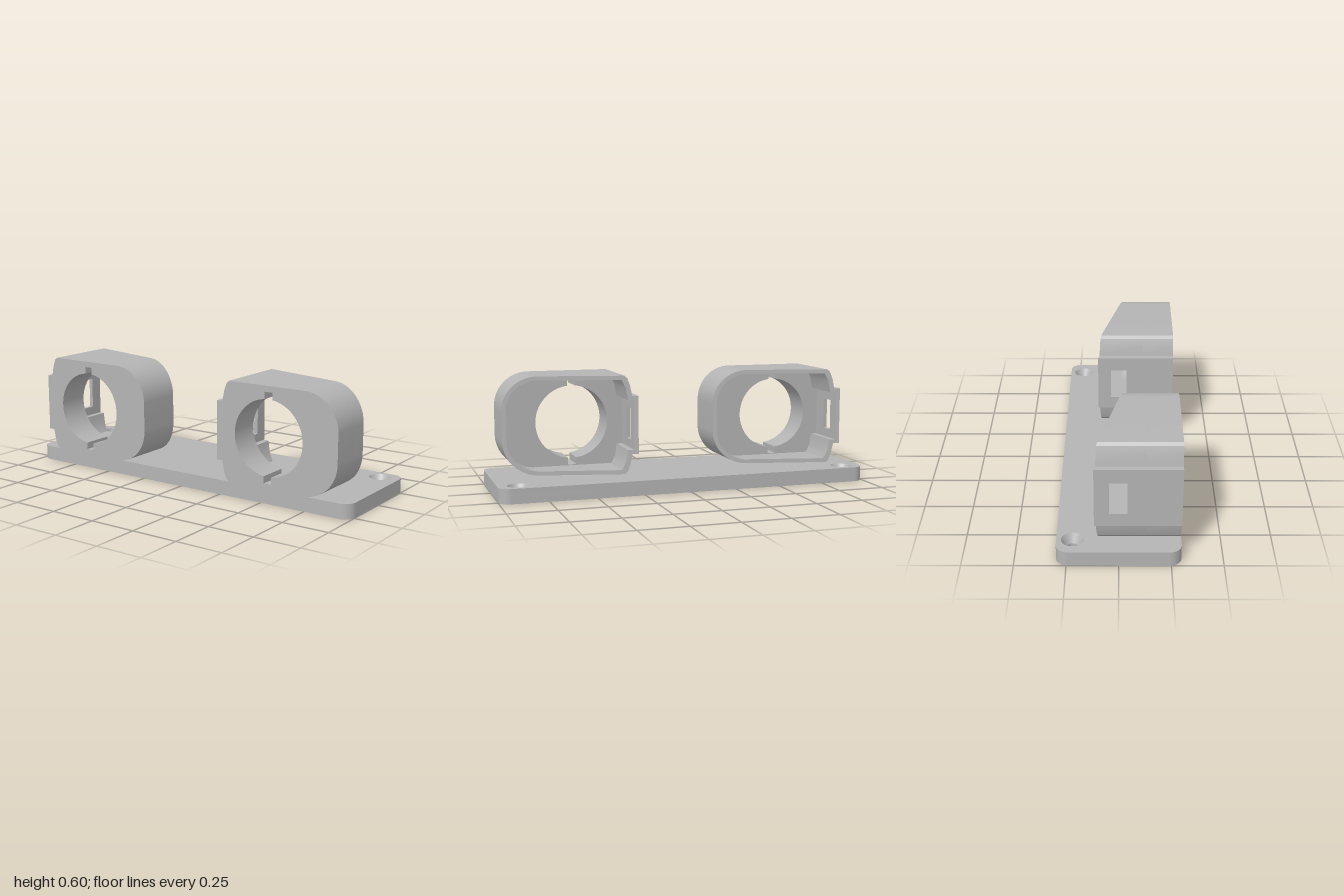
import * as THREE from 'three';
import { toCreasedNormals } from 'three/addons/utils/BufferGeometryUtils.js';

const grey = new THREE.MeshStandardMaterial({ color: 0xb4b4b4, side: THREE.DoubleSide });
grey.name = 'grey plastic';

const BASE_H = 0.077, HOLE_X = 0.895, HOLE_Z = -0.222;
const SINK_Y = 0.032;            // where the countersink cone starts
const CY = 0.3385;               // mid height of a holder
const PLATE_Z = 0.13, FRONT_Z = 0.3;

function mesh(geometry, name) {
  const m = new THREE.Mesh(geometry, grey);
  m.name = name;
  return m;
}

// Extrude a shape in XY between two z limits; each limit may depend on x
function prism(shape, back, front) {
  const g = new THREE.ExtrudeGeometry(shape, { depth: 1, bevelEnabled: false, curveSegments: 24 });
  const p = g.attributes.position;
  for (let i = 0; i < p.count; i++) {
    p.setZ(i, p.getZ(i) < 0.5 ? back(p.getX(i)) : front(p.getX(i)));
  }
  g.computeVertexNormals();
  return toCreasedNormals(g, 0.45);
}

// Sloping rear cut of the holders, in holder coordinates (x = 0 at the bore)
const slant = (x) => -0.117 + (x + 0.305) * 0.2335;
const at = (z) => () => z;

// Base slab layer with rounded corners and two screw holes
function slab(y0, y1, holeR) {
  const s = new THREE.Shape(), r = 0.06, w = 1, d = 0.3;
  s.absarc(w - r, d - r, r, 0, Math.PI / 2);
  s.absarc(-w + r, d - r, r, Math.PI / 2, Math.PI);
  s.absarc(-w + r, -d + r, r, Math.PI, Math.PI * 1.5);
  s.absarc(w - r, -d + r, r, Math.PI * 1.5, Math.PI * 2);
  for (const side of [-1, 1]) {
    const h = new THREE.Path();
    h.absarc(side * HOLE_X, -HOLE_Z, holeR, 0, Math.PI * 2, true);
    s.holes.push(h);
  }
  return prism(s, at(y0), at(y1)).rotateX(-Math.PI / 2);
}

// Trace the holder outline inset by t, from the upper to the lower panel edge
const R = 0.39, H = 0.2615, ROUND = 0.185;
function trace(t) {
  const e = H - t, x = R - t, r = ROUND - t, c = R - ROUND;
  const panelY = 0.155 - t, pts = [];
  const left = [[-0.305 + t, panelY], [-0.273 + t, panelY], [-0.262 + t, 0.21 - t * 0.6],
    [-0.248 + t, 0.248 - t], [-0.234 + t * 0.7, e]];
  for (const [px, py] of left) pts.push(new THREE.Vector2(px, CY + py));
  for (let i = 0; i <= 20; i++) {
    const a = Math.PI / 2 * (1 - i / 20);
    pts.push(new THREE.Vector2(i === 20 ? x : c + r * Math.cos(a), CY + H - ROUND + r * Math.sin(a)));
  }
  const mirrored = pts.map((p) => new THREE.Vector2(p.x, 2 * CY - p.y)).reverse();
  return pts.concat(mirrored);
}

// Bore with key slots at the top and bottom
function bore() {
  const h = new THREE.Path(), r = 0.197, w = 0.022, k = 0.233, y = 0.3365;
  const a = Math.asin(w / r);
  h.absarc(0, y, r, -Math.PI / 2 + a, Math.PI / 2 - a, false);
  h.lineTo(w, y + k);
  h.lineTo(-w, y + k);
  h.absarc(0, y, r, Math.PI / 2 + a, Math.PI * 1.5 - a, false);
  h.lineTo(-w, y - k);
  h.lineTo(w, y - k);
  return h;
}

function holder(name) {
  const g = new THREE.Group();
  g.name = name;
  const wall = 0.022, x0 = -0.305, x1 = x0 + wall, yLow = 0.252, yHigh = 0.42;

  // Thick front plate
  const face = new THREE.Shape(trace(0));
  face.holes.push(bore());
  g.add(mesh(prism(face, at(PLATE_Z), at(FRONT_Z)), 'frontPlate'));

  // Thin wall behind it, left open at the window height
  const v = (x, y) => new THREE.Vector2(x, y);
  const ring = [v(x0, yHigh), ...trace(0), v(x0, yLow),
    v(x1, yLow), ...trace(wall).reverse(), v(x1, yHigh)];
  g.add(mesh(prism(new THREE.Shape(ring), slant, at(PLATE_Z)), 'shellWall'));

  // Side panel strips behind and in front of the window
  const strip = new THREE.Shape([v(x0, yLow), v(x1, yLow), v(x1, yHigh), v(x0, yHigh)]);
  g.add(mesh(prism(strip, slant, at(-0.045)), 'windowRearStrip'));
  g.add(mesh(prism(strip, at(0.041), at(PLATE_Z)), 'windowFrontStrip'));
  return g;
}

export function createModel() {
  const model = new THREE.Group();
  model.name = 'doubleHolderMount';

  model.add(mesh(slab(0, SINK_Y, 0.03), 'baseLower'));
  model.add(mesh(slab(SINK_Y, BASE_H, 0.055), 'baseUpper'));

  for (const side of [-1, 1]) {
    // Countersink cone
    const cone = mesh(new THREE.LatheGeometry(
      [new THREE.Vector2(0.055, BASE_H), new THREE.Vector2(0.03, SINK_Y)], 48), 'countersink');
    cone.position.set(side * HOLE_X, 0, HOLE_Z);
    model.add(cone);
  }

  // Two identical holders
  const right = holder('rightHolder'), left = holder('leftHolder');
  right.position.x = -0.631;
  left.position.x = 0.539;
  model.add(right, left);
  return model;
}
